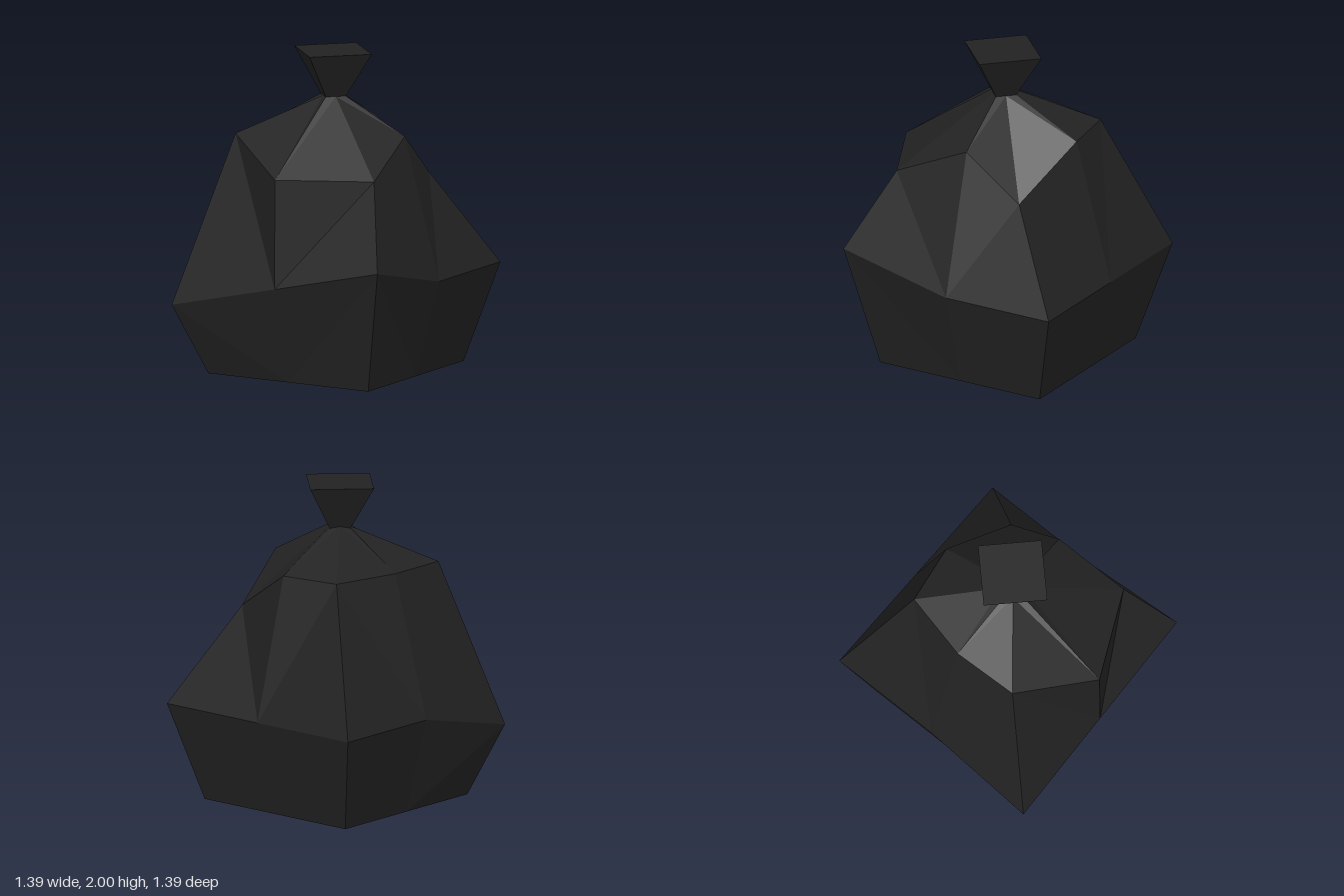
import * as THREE from 'three';

// Skins closed rings of points (back, then round through +x, front, -x) into flat facets.
function loft(rings, bottomTip, topTip) {
  const pos = [];
  const tri = (...pts) => pts.forEach((p) => pos.push(...p));
  const n = rings[0].length;
  for (let r = 0; r < rings.length - 1; r++) {
    for (let i = 0; i < n; i++) {
      const j = (i + 1) % n;
      const a0 = rings[r][i], a1 = rings[r][j];
      const b0 = rings[r + 1][i], b1 = rings[r + 1][j];
      // Alternate the diagonal so each fold runs from a lower mid point to an upper corner
      if (i % 2 === 0) { tri(a1, a0, b1); tri(a0, b0, b1); }
      else { tri(a1, a0, b0); tri(a1, b0, b1); }
    }
  }
  const last = rings[rings.length - 1];
  for (let i = 0; i < n; i++) {
    const j = (i + 1) % n;
    if (bottomTip) tri(bottomTip, rings[0][i], rings[0][j]);
    if (topTip) tri(topTip, last[j], last[i]);
  }
  const g = new THREE.BufferGeometry();
  g.setAttribute('position', new THREE.Float32BufferAttribute(pos, 3));
  g.computeVertexNormals();
  return g;
}

// Square ring of eight points; corner heights go back-right, front-right, front-left, back-left
const square = (s, y, corners) => [
  [0, y, -s], [s, corners[0], -s], [s, y, 0], [s, corners[1], s],
  [0, y, s], [-s, corners[2], s], [-s, y, 0], [-s, corners[3], -s],
];

// Diamond ring of four points
const diamond = (r, y, z) => [[0, y, z - r], [r, y, z], [0, y, z + r], [-r, y, z]];

export function createModel() {
  const group = new THREE.Group();
  const plastic = new THREE.MeshStandardMaterial({ color: 0x222222, flatShading: true });
  plastic.name = 'black plastic';

  // Lumpy sack
  const shoulder = [
    [0, 1.53, -0.465], [0.43, 1.26, -0.335], [0.465, 1.53, 0], [0.52, 1.34, 0.44],
    [0, 1.34, 0.69], [-0.44, 1.525, 0.4], [-0.455, 1.53, 0], [-0.36, 1.53, -0.41],
  ];
  const neck = diamond(0.085, 1.735, 0.03);
  const neckRing = neck.flatMap((p, i) => {
    const q = neck[(i + 1) % 4];
    return [p, [(p[0] + q[0]) / 2, i === 3 ? 1.75 : 1.735, (p[2] + q[2]) / 2]];
  });
  const sack = new THREE.Mesh(loft([
    square(0.54, 0.12, [0.12, 0.12, 0.12, 0.12]),
    square(0.695, 0.695, [0.695, 0.855, 0.535, 0.695]),
    shoulder,
    neckRing,
  ], [0, 0, 0], [0, 1.735, 0.03]), plastic);
  sack.name = 'sack';
  group.add(sack);

  // Gathered, flared top above the tie
  const top = new THREE.Mesh(
    loft([neck, diamond(0.262, 2, 0.035)], null, [0, 2, 0.035]), plastic);
  top.name = 'gatheredTop';
  group.add(top);

  return group;
}
